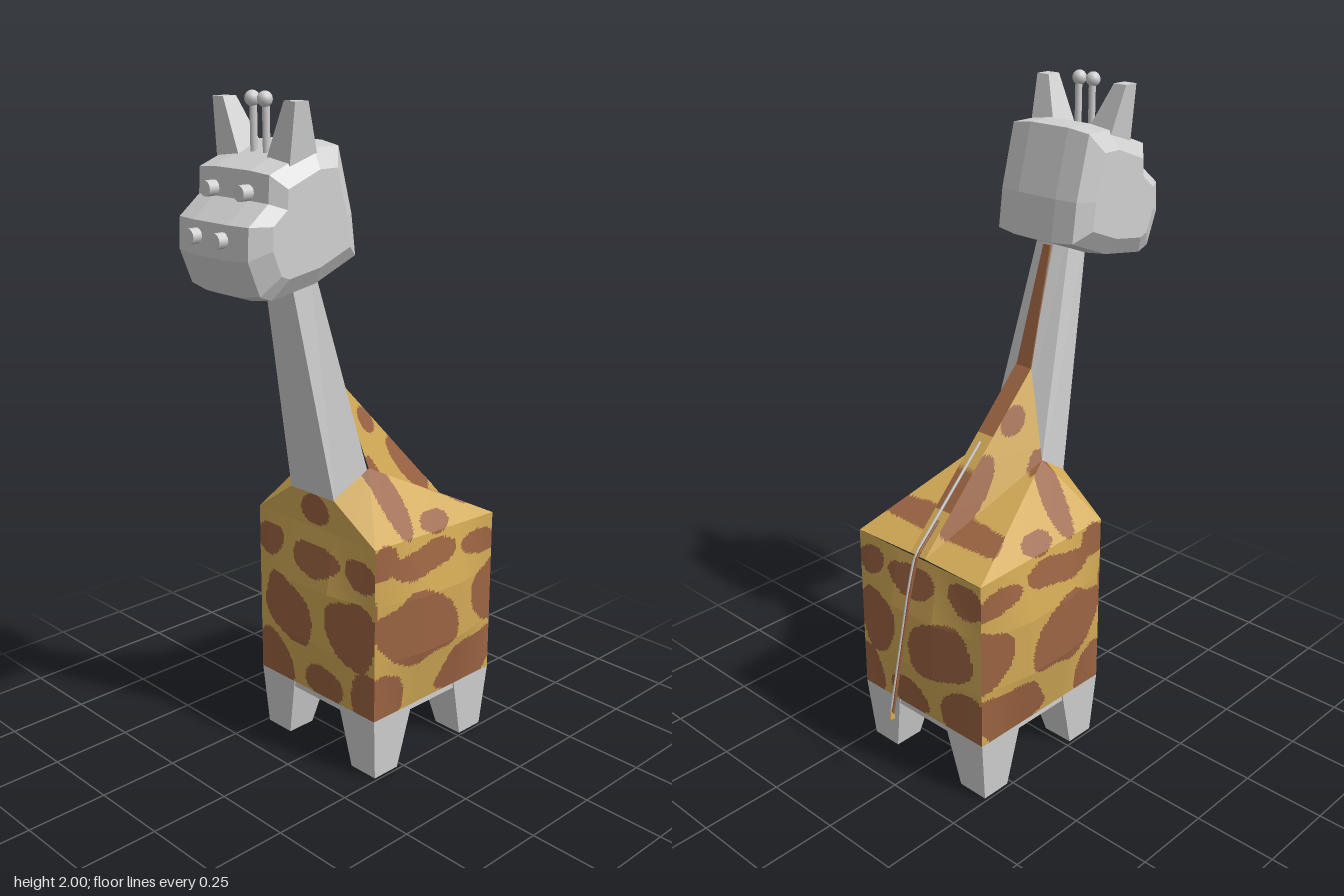
import * as THREE from 'three';

const grey = new THREE.MeshStandardMaterial({ color: 0xd0d0d0 });
const yellow = new THREE.MeshStandardMaterial({ color: 0xd2aa56 });
const brown = new THREE.MeshStandardMaterial({ color: 0x9c6442 });
grey.name = 'pale grey'; yellow.name = 'coat yellow'; brown.name = 'spot brown';

const V = (x, y, z) => new THREE.Vector3(x, y, z);

// Unindexed flat-shaded geometry; each triangle is turned to face away from the centre
function facets(tris, centre, groupOf = () => 0) {
  const lists = [[], []];
  for (let [a, b, c] of tris) {
    const n = b.clone().sub(a).cross(c.clone().sub(a));
    if (n.length() < 1e-10) continue;
    const mid = a.clone().add(b).add(c).divideScalar(3);
    if (n.dot(mid.clone().sub(centre)) < 0) [b, c] = [c, b];
    for (const p of [a, b, c]) lists[groupOf(mid)].push(p.x, p.y, p.z);
  }
  const geo = new THREE.BufferGeometry();
  geo.setAttribute('position', new THREE.Float32BufferAttribute(lists.flat(), 3));
  geo.addGroup(0, lists[0].length / 3, 0);
  geo.addGroup(lists[0].length / 3, lists[1].length / 3, 1);
  geo.computeVertexNormals();
  return geo;
}

// Closed solid through matching rings of points
function loft(rings) {
  const tris = [], centre = V(0, 0, 0);
  const middle = r => r.reduce((s, p) => s.add(p), V(0, 0, 0)).divideScalar(r.length);
  rings.forEach(r => centre.addScaledVector(middle(r), 1 / rings.length));
  const n = rings[0].length;
  for (let j = 0; j < n; j++) {
    const k = (j + 1) % n;
    for (let i = 0; i + 1 < rings.length; i++) {
      const [a, b] = [rings[i], rings[i + 1]];
      tris.push([a[j], a[k], b[k]], [a[j], b[k], b[j]]);
    }
    for (const r of [rings[0], rings.at(-1)]) tris.push([middle(r), r[j], r[k]]);
  }
  return facets(tris, centre);
}

// Finely divided surface from a function of u and v
function grid(fn, n) {
  const tris = [];
  for (let i = 0; i < n; i++) for (let j = 0; j < n; j++) {
    const [a, b, c, d] = [[i, j], [i + 1, j], [i + 1, j + 1], [i, j + 1]].map(([u, v]) => fn(u / n, v / n));
    tris.push([a, b, c], [a, c, d]);
  }
  return tris;
}
const quad = (a, b, c, d) => (u, v) => a.clone().lerp(b, u).lerp(d.clone().lerp(c, u), v);

// Coat spots: [across, height, half width, half height, tilt]
const sideSpots = [
  [0.04, 0.46, 0.165, 0.11, -0.15], [-0.09, 0.25, 0.08, 0.1, 0.3], [0.27, 0.27, 0.15, 0.085, 0.15],
  [0.37, 0.48, 0.1, 0.1, 0.5], [0.07, 0.665, 0.13, 0.045, 0.1], [-0.15, 0.52, 0.03, 0.1, 0],
  [-0.1, 0.69, 0.06, 0.05, 0.5], [0.31, 0.65, 0.09, 0.04, -0.2], [0.0, 0.84, 0.045, 0.12, 0.1],
  [0.22, 0.87, 0.13, 0.045, -0.75], [0.14, 0.76, 0.06, 0.03, 0], [0.03, 1.05, 0.05, 0.03, -0.8],
];
const endSpots = [
  [0.17, 0.46, 0.09, 0.11, 0.3], [-0.1, 0.46, 0.13, 0.1, -0.2], [0.23, 0.25, 0.08, 0.09, 0],
  [0.04, 0.25, 0.09, 0.06, 0.2], [-0.19, 0.26, 0.1, 0.09, 0.2], [0.02, 0.65, 0.1, 0.05, 0],
  [-0.19, 0.66, 0.07, 0.05, 0.3], [0.2, 0.65, 0.06, 0.045, -0.3], [0.0, 0.8, 0.06, 0.05, 0],
];
const spotted = (spots, axis) => p => {
  const a = p[axis];
  return spots.some(([x, y, rx, ry, t]) => {
    const dx = a - x, dy = p.y - y, c = Math.cos(t), s = Math.sin(t);
    const e = ((dx * c + dy * s) / rx) ** 2 + ((dy * c - dx * s) / ry) ** 2;
    return e < 1 + 0.2 * Math.sin(a * 31 + p.y * 23);
  }) ? 1 : 0;
};

export function createModel() {
  const model = new THREE.Group();
  const add = (name, geo, mat) => {
    const m = new THREE.Mesh(geo, mat);
    m.name = name;
    model.add(m);
    return m;
  };
  const coat = [yellow, brown];
  const core = V(0.08, 0.6, 0);

  // Body walls, each bulging in its middle third
  const bump = t => Math.min(1, 3 * Math.min(t, 1 - t));
  const wall = (a, b, out) => (u, v) => {
    const p = a.clone().lerp(b, u);
    p.y = 0.2 + v * (p.y - 0.2);
    return p.addScaledVector(out, 0.033 * bump(u) * bump(v));
  };
  const front = s => V(-0.13, 0.745, 0.25 * s), rear = s => V(0.38, 0.725, 0.25 * s);
  for (const s of [1, -1]) {
    add(s > 0 ? 'leftFlank' : 'rightFlank',
      facets(grid(wall(front(s), rear(s), V(0, 0, s)), 54), core, spotted(sideSpots, 'x')), coat);
  }
  add('chest', facets(grid(wall(front(1), front(-1), V(-1, 0, 0)), 54), core, spotted(endSpots, 'z')), coat);
  add('rump', facets(grid(wall(rear(1), rear(-1), V(1, 0, 0)), 54), core, spotted(endSpots, 'z')), coat);

  // Sloping shoulders and back
  const side = s => V(-0.02, 0.93, 0.112 * s), peak = s => V(-0.06, 1.185, 0.03 * s);
  const tailEnd = s => V(0.38, 0.73, 0.03 * s), throat = s => V(-0.14, 0.855, 0.09 * s);
  for (const s of [1, -1]) {
    const tris = [
      [front(s), rear(s), side(s), side(s)], [side(s), rear(s), tailEnd(s), tailEnd(s)],
      [side(s), tailEnd(s), peak(s), peak(s)], [front(s), side(s), throat(s), throat(s)],
    ].flatMap(q => grid(quad(...q), 36));
    add('shoulder', facets(tris, core, spotted(sideSpots, 'x')), coat);
  }
  add('throatBase', facets(grid(quad(front(1), front(-1), throat(-1), throat(1)), 30), core,
    spotted(endSpots, 'z')), coat);
  add('backRidge', facets(grid(quad(peak(1), peak(-1), tailEnd(-1), tailEnd(1)), 30), core,
    p => (p.x < 0.1 || (p.x > 0.18 && p.x < 0.28) ? 1 : 0)), coat);

  // Belly and legs
  const belly = add('belly', new THREE.BoxGeometry(0.5, 0.03, 0.49), grey);
  belly.position.set(0.125, 0.194, 0);
  const rect = (x0, x1, z0, z1, y) => [V(x0, y, z0), V(x1, y, z0), V(x1, y, z1), V(x0, y, z1)];
  for (const s of [1, -1]) {
    add('frontLeg', loft([rect(-0.115, -0.02, 0.14 * s, 0.24 * s, 0), rect(-0.13, 0.03, 0.1 * s, 0.25 * s, 0.2)]), grey);
    add('hindLeg', loft([rect(0.265, 0.36, 0.14 * s, 0.24 * s, 0), rect(0.22, 0.38, 0.1 * s, 0.25 * s, 0.2)]), grey);
  }

  // Neck, six-sided and leaning forward
  const neckRing = (y, f, b, r, zf, zb, zr) => [V(f, y, zf), V(b, y, zb), V(r, y, zr),
    V(r, y, -zr), V(b, y, -zb), V(f, y, -zf)];
  add('neck', loft([neckRing(0.8, -0.13, 0.01, 0.05, 0.094, 0.118, 0.03),
    neckRing(1.6, -0.278, -0.2, -0.182, 0.05, 0.055, 0.018)]), grey);
  const maneRing = (x, y, w) => [V(x - 0.02, y, w), V(x + 0.005, y, w), V(x + 0.005, y, -w), V(x - 0.02, y, -w)];
  add('mane', loft([maneRing(-0.063, 1.18, 0.028), maneRing(-0.16, 1.53, 0.013)]), brown);

  // Head: side outline repeated across the width, shrinking toward the cheeks
  const profile = [[-0.45, 1.49], [-0.49, 1.59], [-0.485, 1.68], [-0.415, 1.735], [-0.41, 1.81], [-0.25, 1.87],
    [-0.16, 1.87], [-0.11, 1.68], [-0.095, 1.56], [-0.25, 1.5], [-0.41, 1.475]];
  const slice = (z, k) => profile.map(([x, y]) => V(-0.28 + (x + 0.28) * k, 1.68 + (y - 1.68) * k, z));
  add('head', loft([[-0.172, 0.68], [-0.14, 0.95], [-0.07, 1], [0.07, 1], [0.14, 0.95], [0.172, 0.68]]
    .map(([z, k]) => slice(z, k))), grey);

  for (const s of [1, -1]) {
    // Ears
    add('ear', loft([rect(-0.34, -0.24, 0.05 * s, 0.145 * s, 1.82),
      rect(-0.335, -0.29, 0.12 * s, 0.163 * s, 1.98)]), grey);
    // Horns
    add('hornStem', new THREE.CylinderGeometry(0.01, 0.01, 0.14, 8), grey).position.set(-0.312, 1.9, 0.025 * s);
    add('hornTip', new THREE.SphereGeometry(0.021, 12, 8), grey).position.set(-0.315, 1.979, 0.025 * s);
    // Eyes and nostrils
    for (const [name, x, y, z] of [['eye', -0.425, 1.755, 0.068], ['nostril', -0.495, 1.64, 0.053]]) {
      const m = add(name, new THREE.CylinderGeometry(0.021, 0.021, 0.04, 14), grey);
      m.rotation.z = Math.PI / 2;
      m.position.set(x, y, z * s);
    }
  }

  // Tail: pale and brown strands running down the ridge
  const strand = (z, from) => new THREE.TubeGeometry(new THREE.CatmullRomCurve3(
    [from, V(0.385, 0.735, z), V(0.42, 0.62, z), V(0.5, 0.26, z)], false, 'catmullrom', 0.1), 24, 0.0045, 5);
  add('tailStrand', strand(0.003, V(0.12, 1.0, 0.003)), grey);
  add('tail', strand(-0.005, V(0.3, 0.815, -0.005)), brown);
  const tuft = add('tailTuft', new THREE.ConeGeometry(0.01, 0.05, 5), yellow);
  tuft.position.set(0.498, 0.268, -0.002);
  tuft.rotation.z = 0.22;
  return model;
}
